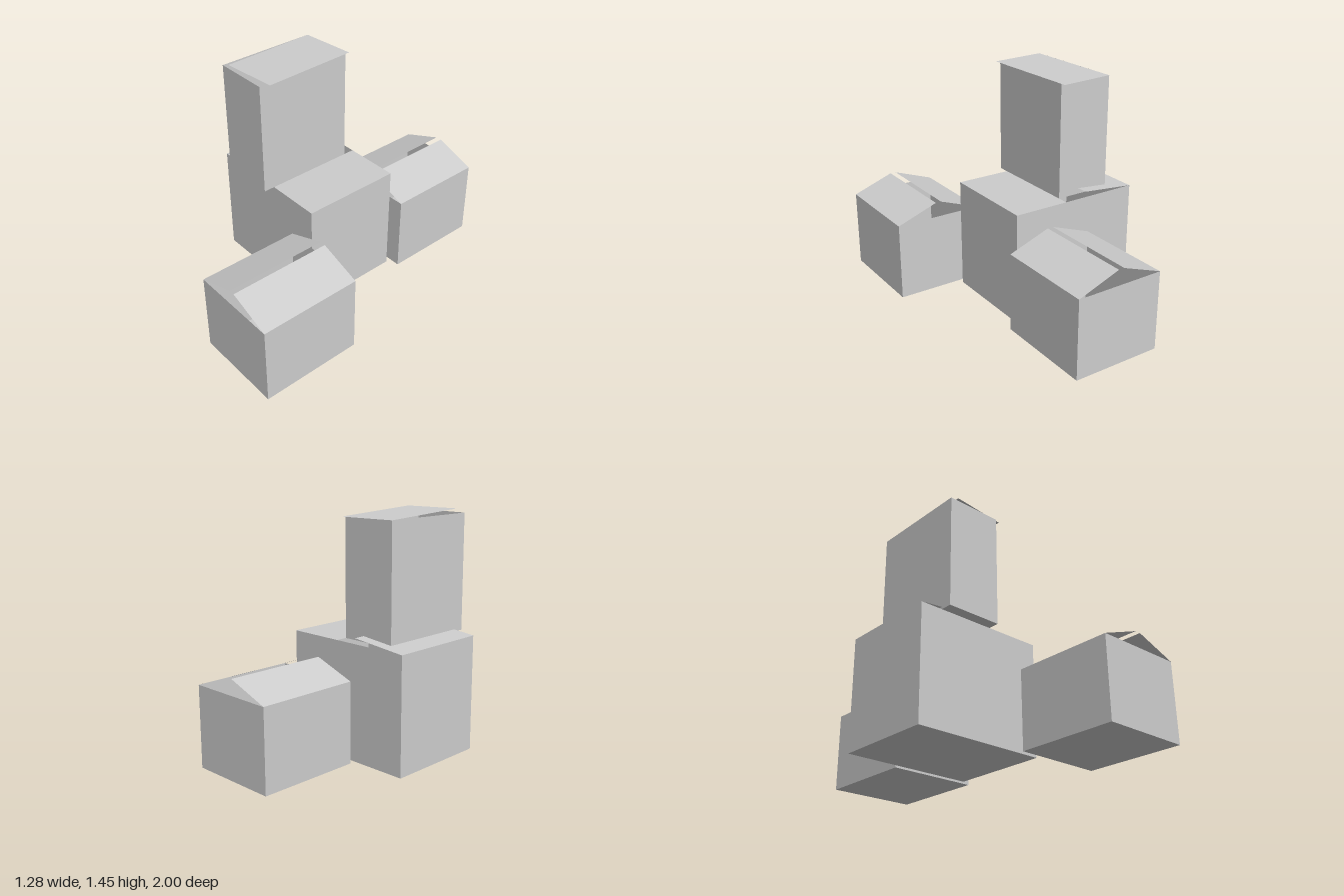
import * as THREE from 'three';

const rad = THREE.MathUtils.degToRad;

export function createModel() {
  const model = new THREE.Group();
  const cardboard = new THREE.MeshStandardMaterial({ color: 0xcccccc, side: THREE.DoubleSide });
  cardboard.name = 'grey cardboard';

  // Box shell without its top face, standing on its own origin
  function openShell(w, h, d) {
    const g = new THREE.BoxGeometry(w, h, d);
    const idx = Array.from(g.index.array);
    g.setIndex([...idx.slice(0, 12), ...idx.slice(18)]);
    g.clearGroups();
    return g.translate(0, h / 2, 0);
  }

  function addMesh(parent, name, geometry) {
    const mesh = new THREE.Mesh(geometry, cardboard);
    mesh.name = name;
    parent.add(mesh);
    return mesh;
  }

  // Open carton with two thin flaps hinged on its -x and +x rims
  function carton(name, [w, h, d], [x, y, z], flap, angles) {
    const group = new THREE.Group();
    group.name = name;
    group.position.set(x, y, z);
    addMesh(group, name + 'Shell', openShell(w, h, d));
    angles.forEach((angle, i) => {
      const sheet = new THREE.PlaneGeometry(flap, d).rotateX(-Math.PI / 2).translate(flap / 2, 0, 0);
      const mesh = addMesh(group, name + (i ? 'LeftFlap' : 'RightFlap'), sheet);
      mesh.position.set(i ? w / 2 : -w / 2, h, 0);
      mesh.rotation.set(0, i ? Math.PI : 0, rad(angle));
    });
    model.add(group);
    return group;
  }

  carton('frontBox', [0.571, 0.5, 0.643], [0.357, 0, 0.679], 0.284, [20, 20]);
  carton('backBox', [0.571, 0.5, 0.643], [0, 0, -0.679], 0.284, [20, 20]);
  carton('middleBox', [0.857, 0.714, 0.643], [-0.214, 0, 0], 0.357, [5.7, 0]);

  // Tall box on top with a loose, slightly twisted lid
  const w = 0.357, h = 0.714, d = 0.643;
  const tall = carton('tallBox', [w, h, d], [-0.321, 0.714, 0.071], 0, []);
  const lid = addMesh(tall, 'tallBoxLid',
    new THREE.PlaneGeometry(w, d).rotateX(-Math.PI / 2).translate(w / 2, 0, d / 2));
  lid.position.set(-w / 2, h, -d / 2);
  lid.rotation.set(rad(-1.9), rad(5), 0);

  return model;
}
